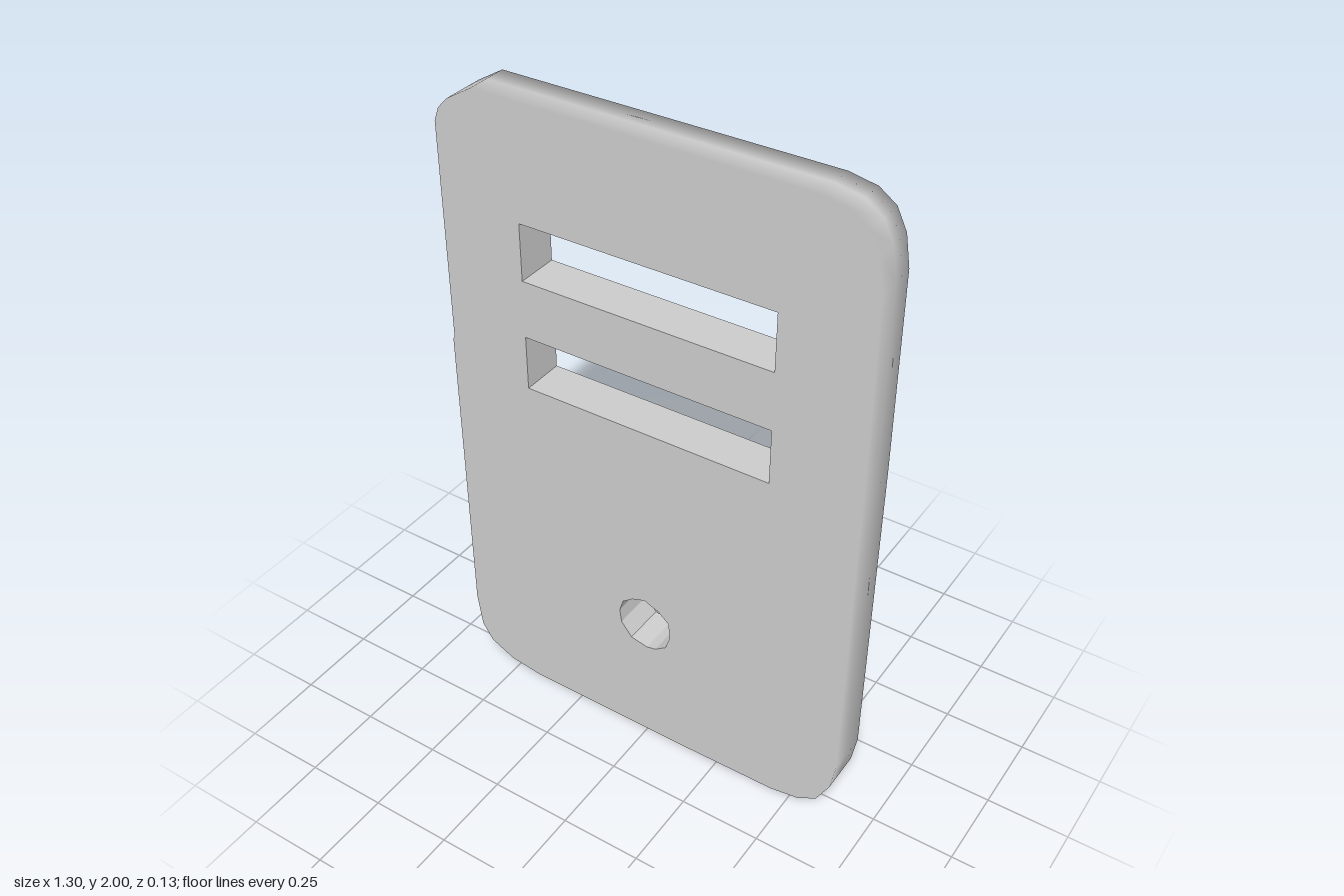
import * as THREE from 'three';

const H = 0.066; // half thickness

// Plate outline, counter-clockwise from the lower left
const OUTLINE = [
  [-0.42, 0.01], [0.1, 0.003], [0.44, 0.005], [0.53, 0.02], [0.59, 0.055], [0.63, 0.13], [0.645, 0.22],
  [0.648, 1.2], [0.645, 1.8], [0.63, 1.89], [0.6, 1.95], [0.55, 1.985], [0.47, 2],
  [-0.52, 2], [-0.6, 1.952], [-0.63, 1.92], [-0.645, 1.88],
  [-0.645, 1.22], [-0.65, 1.21], [-0.65, 0.23], [-0.635, 0.12], [-0.6, 0.065], [-0.52, 0.025],
];

// Slightly uneven round hole, clockwise
const ROUND_HOLE = [
  [-0.008, 0.535], [0.04, 0.515], [0.075, 0.485], [0.08, 0.43], [0.065, 0.385], [0.03, 0.36],
  [0, 0.353], [-0.055, 0.365], [-0.09, 0.41], [-0.096, 0.455], [-0.083, 0.495], [-0.05, 0.52],
];

// Rectangular slot, clockwise
const slot = (y0, y1) => [[-0.39, y0], [-0.39, y1], [0.38, y1], [0.38, y0]];

const HOLES = { upperSlotWall: slot(1.485, 1.658), lowerSlotWall: slot(1.14, 1.308), roundHoleWall: ROUND_HOLE };

// Flat face with the cut-outs; the back one is drawn mirrored and turned round
function faceGeometry(back) {
  const toPoints = (loop) => loop.map(([x, y]) => new THREE.Vector2(back ? -x : x, y));
  const shape = new THREE.Shape(toPoints(OUTLINE));
  for (const loop of Object.values(HOLES)) shape.holes.push(new THREE.Path(toPoints(loop)));
  const geometry = new THREE.ShapeGeometry(shape).translate(0, 0, H);
  return back ? geometry.rotateY(Math.PI) : geometry;
}

// Wall along a closed loop: soft blends its shading into both faces, otherwise it is faceted
function wallGeometry(loop, soft) {
  const n = loop.length, positions = [], normals = [], index = [];
  for (const side of [1, 0, -1]) {
    loop.forEach(([x, y], i) => {
      const [ax, ay] = loop[(i + n - 1) % n], [bx, by] = loop[(i + 1) % n];
      // Bisect the unit directions of the two neighbouring edges
      const t = new THREE.Vector2(x - ax, y - ay).normalize()
        .add(new THREE.Vector2(bx - x, by - y).normalize()).normalize();
      positions.push(x, y, side * H);
      if (side) normals.push(0, 0, side);
      else normals.push(t.y, -t.x, 0);
    });
  }
  for (let r = 0; r < 2; r++) {
    for (let i = 0; i < n; i++) {
      const j = (i + 1) % n;
      const a = r * n + i, b = r * n + j, c = a + n, d = b + n;
      index.push(a, c, b, b, c, d);
    }
  }
  let geometry = new THREE.BufferGeometry();
  geometry.setAttribute('position', new THREE.Float32BufferAttribute(positions, 3));
  geometry.setAttribute('normal', new THREE.Float32BufferAttribute(normals, 3));
  geometry.setIndex(index);
  if (!soft) {
    geometry = geometry.toNonIndexed();
    geometry.computeVertexNormals();
  }
  return geometry;
}

export function createModel() {
  const group = new THREE.Group();
  group.name = 'slottedPlate';
  const material = new THREE.MeshStandardMaterial({ color: 0xcccccc });
  const add = (name, geometry) => {
    const mesh = new THREE.Mesh(geometry, material);
    mesh.name = name;
    group.add(mesh);
  };

  add('frontFace', faceGeometry(false));
  add('backFace', faceGeometry(true));
  add('outerEdge', wallGeometry(OUTLINE, true));
  for (const [name, loop] of Object.entries(HOLES)) add(name, wallGeometry(loop, false));
  return group;
}
